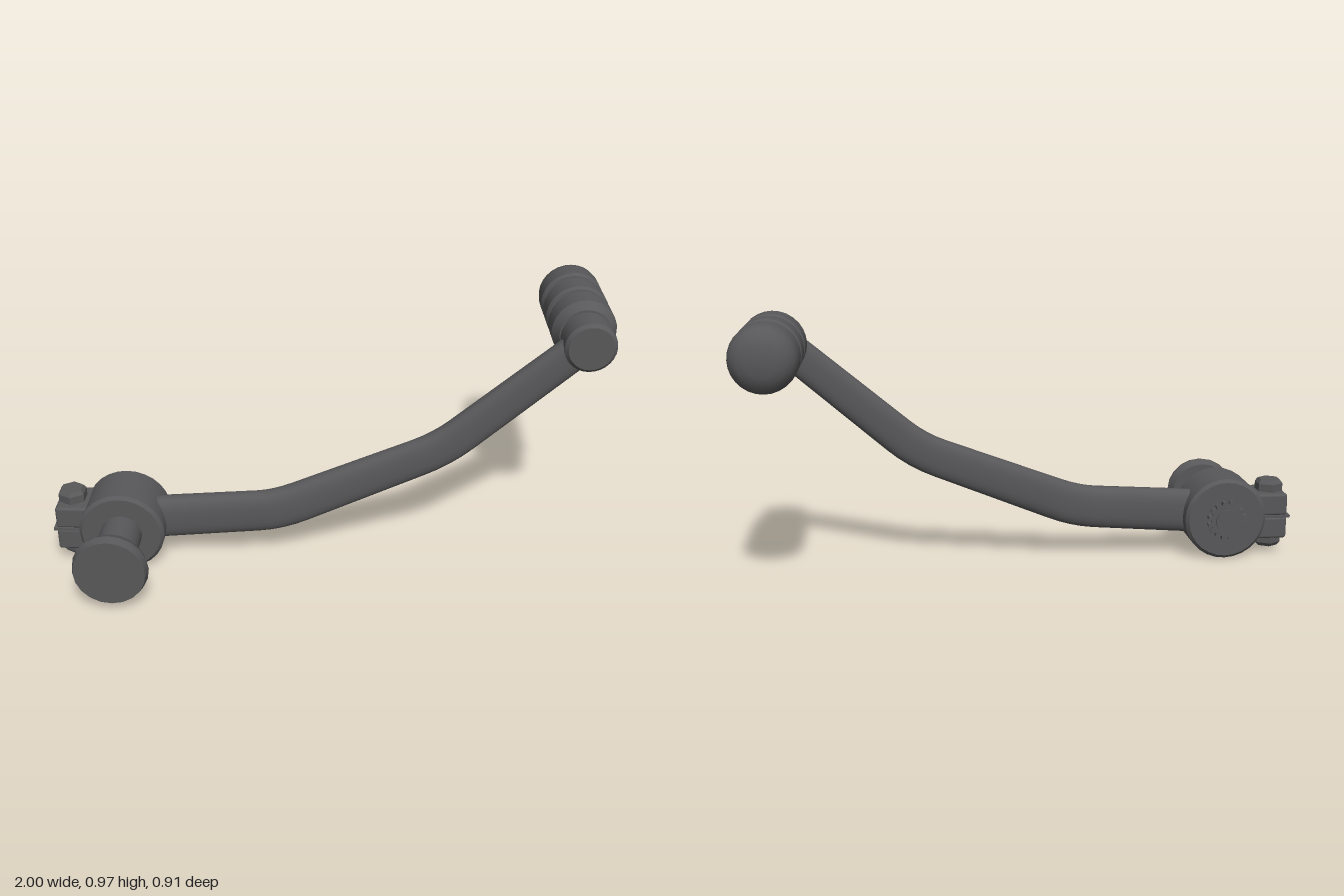
import * as THREE from 'three';
import { toCreasedNormals } from 'three/addons/utils/BufferGeometryUtils.js';
import { RoundedBoxGeometry } from 'three/addons/geometries/RoundedBoxGeometry.js';

const HUB = { x: -0.75, y: 0.157 };
const PEG = { x: 0.883, y: 0.858 };

export function createModel() {
  const model = new THREE.Group();
  model.name = 'footLever';
  const steel = new THREE.MeshStandardMaterial({ color: 0x58585a });
  steel.name = 'darkSteel';

  function add(name, geometry, x = 0, y = 0, z = 0) {
    const mesh = new THREE.Mesh(geometry, steel);
    mesh.name = name;
    mesh.position.set(x, y, z);
    model.add(mesh);
    return mesh;
  }

  // Turned part along z; the profile lists [radius, z] from back to front
  function turned(name, profile, at, sides = 28) {
    const g = new THREE.LatheGeometry(profile.map(([r, z]) => new THREE.Vector2(r, z)), sides);
    g.rotateX(Math.PI / 2);
    return add(name, toCreasedNormals(g, 0.55), at.x, at.y);
  }

  // Clamp hub, cross shaft and its end cap
  turned('hub', [[0, 0.012], [0.142, 0.012], [0.154, 0.024], [0.154, 0.198], [0.142, 0.21], [0, 0.21]], HUB);
  turned('shaft', [[0.074, 0.2], [0.074, 0.4]], HUB);
  turned('shaftCap', [[0, 0.39], [0.118, 0.39], [0.133, 0.424], [0.125, 0.456], [0, 0.456]], HUB, 20);

  // Splined shaft end behind the hub
  const teeth = 16;
  const outline = [];
  for (let i = 0; i < teeth; i++) {
    [[0.1, 0.062], [0.3, 0.075], [0.7, 0.075], [0.9, 0.062]].forEach(([f, r]) => {
      const a = ((i + f) / teeth) * Math.PI * 2;
      outline.push(new THREE.Vector2(r * Math.cos(a), r * Math.sin(a)));
    });
  }
  add('splines', new THREE.ExtrudeGeometry(new THREE.Shape(outline), { depth: 0.04, bevelEnabled: false }),
    HUB.x, HUB.y, -0.01);
  turned('shaftTip', [[0, -0.018], [0.045, -0.018], [0.045, 0]], HUB);

  // Clamp lugs with the thin plate in the slit between them
  for (const side of [-1, 1]) {
    add(side > 0 ? 'upperLug' : 'lowerLug', new RoundedBoxGeometry(0.15, 0.083, 0.155, 2, 0.01),
      -0.915, HUB.y + side * 0.045, 0.106);
  }
  add('slitPlate', new THREE.BoxGeometry(0.14, 0.01, 0.16), -0.93, HUB.y, 0.106);

  // Pinch bolt: hex head above, hex nut below, each with a chamfered end
  for (const side of [-1, 1]) {
    const hex = new THREE.LatheGeometry(
      [[0, 0], [0.053, 0], [0.053, 0.032], [0.042, 0.046], [0, 0.046]].map(([r, y]) => new THREE.Vector2(r, y)), 6);
    if (side < 0) hex.rotateX(Math.PI);
    add(side > 0 ? 'boltHead' : 'boltNut', toCreasedNormals(hex, 0.2), -0.937, HUB.y + side * 0.084, 0.106);
  }
  add('boltShank', new THREE.CylinderGeometry(0.03, 0.03, 0.18, 16), -0.937, HUB.y, 0.106);

  // Bent arm
  add('arm', armGeometry());

  // Boss at the arm's end and the grooved foot peg
  turned('pegBoss', [[0, -0.006], [0.078, -0.006], [0.09, 0.006], [0.09, 0.1], [0.078, 0.112], [0, 0.112]], PEG);
  turned('pegPin', [[0.04, -0.03], [0.04, 0.01]], PEG);
  turned('footPeg', [
    [0, -0.456], [0.05, -0.453], [0.078, -0.443], [0.1, -0.424], [0.11, -0.4], [0.113, -0.375],
    [0.113, -0.308], [0.105, -0.298], [0.092, -0.296], [0.092, -0.272], [0.105, -0.27], [0.113, -0.26],
    [0.113, -0.178], [0.105, -0.168], [0.092, -0.166], [0.092, -0.142], [0.105, -0.14], [0.113, -0.13],
    [0.113, -0.045], [0.09, -0.013], [0, -0.013],
  ], PEG);

  return model;
}

// Rounded flat section swept along a path with two soft bends
function armGeometry() {
  // x, y, z, half height, half thickness
  const keys = [
    [-0.7, 0.165, 0.108, 0.083, 0.042],
    [-0.19, 0.202, 0.105, 0.079, 0.04],
    [0.4, 0.442, 0.066, 0.069, 0.037],
    [0.88, 0.858, 0.053, 0.062, 0.036],
  ];
  const mix = (a, b, t) => a.map((v, i) => v + (b[i] - v) * t);
  const rows = [keys[0]];
  for (let k = 1; k < keys.length - 1; k++) {
    const from = mix(keys[k], keys[k - 1], 0.14);
    const to = mix(keys[k], keys[k + 1], 0.14);
    for (let s = 0; s <= 4; s++) {
      const t = s / 4;
      rows.push(mix(mix(from, keys[k], t), mix(keys[k], to, t), t));
    }
  }
  rows.push(keys[keys.length - 1]);

  const sides = 24;
  const positions = [];
  const index = [];
  const point = (r) => new THREE.Vector3(r[0], r[1], r[2]);
  const round = (v) => Math.sign(v) * Math.abs(v) ** 0.75;
  rows.forEach((row, i) => {
    const before = point(rows[Math.max(i - 1, 0)]);
    const tangent = point(rows[Math.min(i + 1, rows.length - 1)]).sub(before).normalize();
    const up = new THREE.Vector3(0, 0, 1).cross(tangent).normalize();
    const across = tangent.clone().cross(up);
    for (let j = 0; j < sides; j++) {
      const a = (j / sides) * Math.PI * 2;
      const p = point(row)
        .addScaledVector(up, row[3] * round(Math.cos(a)))
        .addScaledVector(across, row[4] * round(Math.sin(a)));
      positions.push(p.x, p.y, p.z);
      if (i < rows.length - 1) {
        const b = i * sides + j;
        const c = i * sides + ((j + 1) % sides);
        index.push(b, c, b + sides, c, c + sides, b + sides);
      }
    }
  });
  const g = new THREE.BufferGeometry();
  g.setAttribute('position', new THREE.Float32BufferAttribute(positions, 3));
  g.setIndex(index);
  g.computeVertexNormals();
  return g;
}
